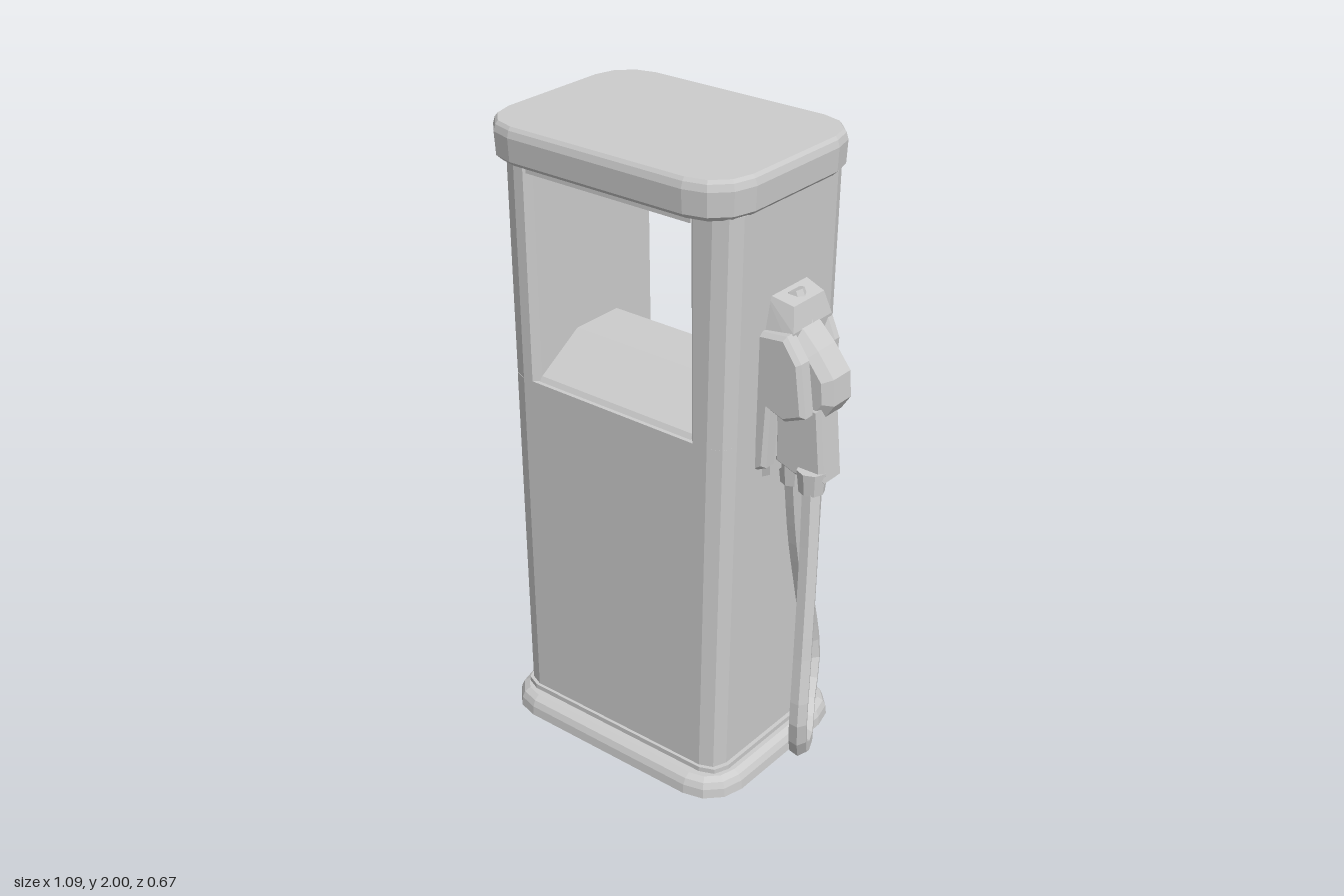
import * as THREE from 'three';
import { ConvexGeometry } from 'three/addons/geometries/ConvexGeometry.js';

const material = new THREE.MeshStandardMaterial({ color: 0xcccccc, flatShading: true, side: THREE.DoubleSide });
const V = (x, y, z) => new THREE.Vector3(x, y, z);

function add(group, name, geometry) {
  const mesh = new THREE.Mesh(geometry, material);
  mesh.name = name;
  group.add(mesh);
  return mesh;
}

// Plan outline with rounded corners, as [x, z] points
function roundedPlan(x0, x1, halfZ, r, steps) {
  const pts = [];
  const corners = [[x1 - r, halfZ - r], [x0 + r, halfZ - r], [x0 + r, r - halfZ], [x1 - r, r - halfZ]];
  corners.forEach(([cx, cz], i) => {
    for (let s = 0; s <= steps; s++) {
      const a = (i + s / steps) * Math.PI / 2;
      pts.push([cx + r * Math.cos(a), cz + r * Math.sin(a)]);
    }
  });
  return pts;
}

// Solid slab from stacked rounded outlines: [y, inset]
function slab(x0, x1, halfZ, r, rings) {
  const pts = rings.flatMap(([y, d]) =>
    roundedPlan(x0 + d, x1 - d, halfZ - d, r - d, 3).map(([x, z]) => V(x, y, z)));
  return new ConvexGeometry(pts);
}

// Vertical prism; the hose side of the cabinet leans out slightly with height
const lean = (x, y) => (x > 0.2 ? x + 0.024 * (y - 1) : x);
function prism(plan, y0, y1) {
  return new ConvexGeometry([y0, y1].flatMap(y => plan.map(([x, z]) => V(lean(x, y), y, z))));
}

// Side-on outline in x/y, extruded about a given z
function plate(outline, z, thickness, bevel = 0.012, hole = null) {
  const shape = new THREE.Shape(outline.map(p => new THREE.Vector2(...p)));
  if (hole) shape.holes.push(new THREE.Path(hole.map(p => new THREE.Vector2(...p))));
  const depth = thickness - 2 * bevel;
  const geo = new THREE.ExtrudeGeometry(shape, {
    depth, bevelEnabled: true, bevelThickness: bevel, bevelSize: bevel, bevelOffset: -bevel, bevelSegments: 1,
  });
  return geo.translate(0, 0, z - depth / 2);
}

export function createModel() {
  const model = new THREE.Group();
  model.name = 'fuelPump';

  // Plinth and roof cap
  add(model, 'base', slab(-0.55, 0.34, 0.335, 0.13, [[0, 0], [0.03, 0.003], [0.05, 0.012], [0.062, 0.03]]));
  add(model, 'cap', slab(-0.55, 0.345, 0.325, 0.14, [[1.885, 0.02], [1.9, 0.004], [1.97, 0], [1.99, 0.006], [2, 0.014]]));

  // Cabinet below the window
  const cabinet = new THREE.Group();
  cabinet.name = 'cabinet';
  model.add(cabinet);
  add(cabinet, 'lowerBody', prism(roundedPlan(-0.505, 0.305, 0.272, 0.06, 2), 0.05, 1.2));
  add(cabinet, 'footTrim', prism(roundedPlan(-0.515, 0.318, 0.282, 0.065, 2), 0.05, 0.078));

  // Posts either side of the window, with chamfered inner edges
  const post = (outer, inner) => {
    const s = Math.sign(outer - inner);
    const plan = [];
    for (const f of [1, -1]) {
      plan.push([inner, 0.25 * f], [inner + s * 0.02, 0.272 * f], [outer - s * 0.06, 0.272 * f],
        [outer - s * 0.018, 0.254 * f], [outer, 0.212 * f]);
    }
    return prism(plan, 1.2, 1.89);
  };
  add(cabinet, 'leftPost', post(0.305, 0.18));
  add(cabinet, 'rightPost', post(-0.505, -0.39));

  // Lintel above the opening
  const lintelPlan = [];
  for (const x of [-0.4, 0.19]) lintelPlan.push([x, 0.27], [x, -0.27]);
  add(cabinet, 'lintel', prism(lintelPlan, 1.855, 1.89));

  // Sloping console that shows through the window on both faces
  const consoleProfile = [[0.265, 1.19], [0.25, 1.215], [0.09, 1.315], [-0.09, 1.315], [-0.25, 1.215], [-0.265, 1.19]];
  add(cabinet, 'console', new ConvexGeometry(
    [-0.392, 0.182].flatMap(x => consoleProfile.map(([z, y]) => V(x, y, z)))));

  // Holster mounted on the side
  const holster = new THREE.Group();
  holster.name = 'holster';
  model.add(holster);
  add(holster, 'holsterTop', new ConvexGeometry([
    V(0.3, 1.62, 0.08), V(0.3, 1.62, -0.09), V(0.39, 1.6, 0.07), V(0.39, 1.6, -0.07),
    V(0.3, 1.48, 0.11), V(0.3, 1.48, -0.11), V(0.405, 1.53, 0.09), V(0.405, 1.53, -0.09),
    V(0.4, 1.49, 0.1), V(0.4, 1.49, -0.1)]));
  add(holster, 'holsterBack', new ConvexGeometry([
    V(0.29, 1.52, 0.12), V(0.29, 1.52, -0.11), V(0.345, 1.5, 0.11), V(0.345, 1.5, -0.1),
    V(0.29, 1.04, 0.09), V(0.29, 1.04, -0.09), V(0.33, 1.06, 0.08), V(0.33, 1.06, -0.08)]));
  add(holster, 'holsterCheek', plate(
    [[0.3, 1.52], [0.4, 1.53], [0.45, 1.46], [0.47, 1.3], [0.4, 1.27], [0.35, 1.29], [0.34, 1.1], [0.3, 1.08]], 0.095, 0.06));
  add(holster, 'holsterRearCheek', plate(
    [[0.3, 1.52], [0.4, 1.53], [0.43, 1.46], [0.42, 1.32], [0.34, 1.26], [0.3, 1.2]], -0.085, 0.045));

  // Nozzle: head, grip with trigger guard, trigger and spout
  const nozzle = new THREE.Group();
  nozzle.name = 'nozzle';
  model.add(nozzle);
  add(nozzle, 'nozzleHead', plate(
    [[0.36, 1.55], [0.41, 1.53], [0.46, 1.48], [0.515, 1.41], [0.52, 1.33], [0.49, 1.285], [0.42, 1.27], [0.35, 1.32]],
    0.01, 0.13, 0.025));
  add(nozzle, 'gripAndGuard', plate(
    [[0.34, 1.32], [0.49, 1.32], [0.51, 1.09], [0.41, 1.085], [0.34, 1.11]],
    0.03, 0.1, 0.012, [[0.36, 1.275], [0.36, 1.14], [0.405, 1.13], [0.395, 1.275]]));
  add(nozzle, 'trigger', plate(
    [[0.375, 1.29], [0.395, 1.29], [0.4, 1.2], [0.385, 1.12], [0.365, 1.12], [0.38, 1.2]], 0.02, 0.04, 0.004));
  const spout = add(nozzle, 'spout', new THREE.CylinderGeometry(0.028, 0.04, 0.2, 8));
  spout.position.set(0.375, 1.52, 0);
  spout.rotation.z = 0.35;
  const gripEnd = add(nozzle, 'hoseCollar', new THREE.CylinderGeometry(0.045, 0.038, 0.07, 8));
  gripEnd.position.set(0.465, 1.085, 0.065);

  // Hose socket on the cabinet and the hanging hose loop
  const socket = add(model, 'hoseSocket', new THREE.CylinderGeometry(0.045, 0.036, 0.09, 8));
  socket.position.set(0.345, 1.05, -0.01);
  const hosePath = new THREE.CatmullRomCurve3([
    V(0.465, 1.1, 0.065), V(0.483, 0.85, 0.095), V(0.502, 0.55, 0.135), V(0.513, 0.29, 0.163),
    V(0.485, 0.18, 0.115), V(0.425, 0.13, 0), V(0.36, 0.17, -0.1), V(0.325, 0.29, -0.17),
    V(0.328, 0.55, -0.115), V(0.335, 0.8, -0.055), V(0.345, 1.06, -0.01)], false, 'centripetal');
  add(model, 'hose', new THREE.TubeGeometry(hosePath, 30, 0.03, 6));

  return model;
}
